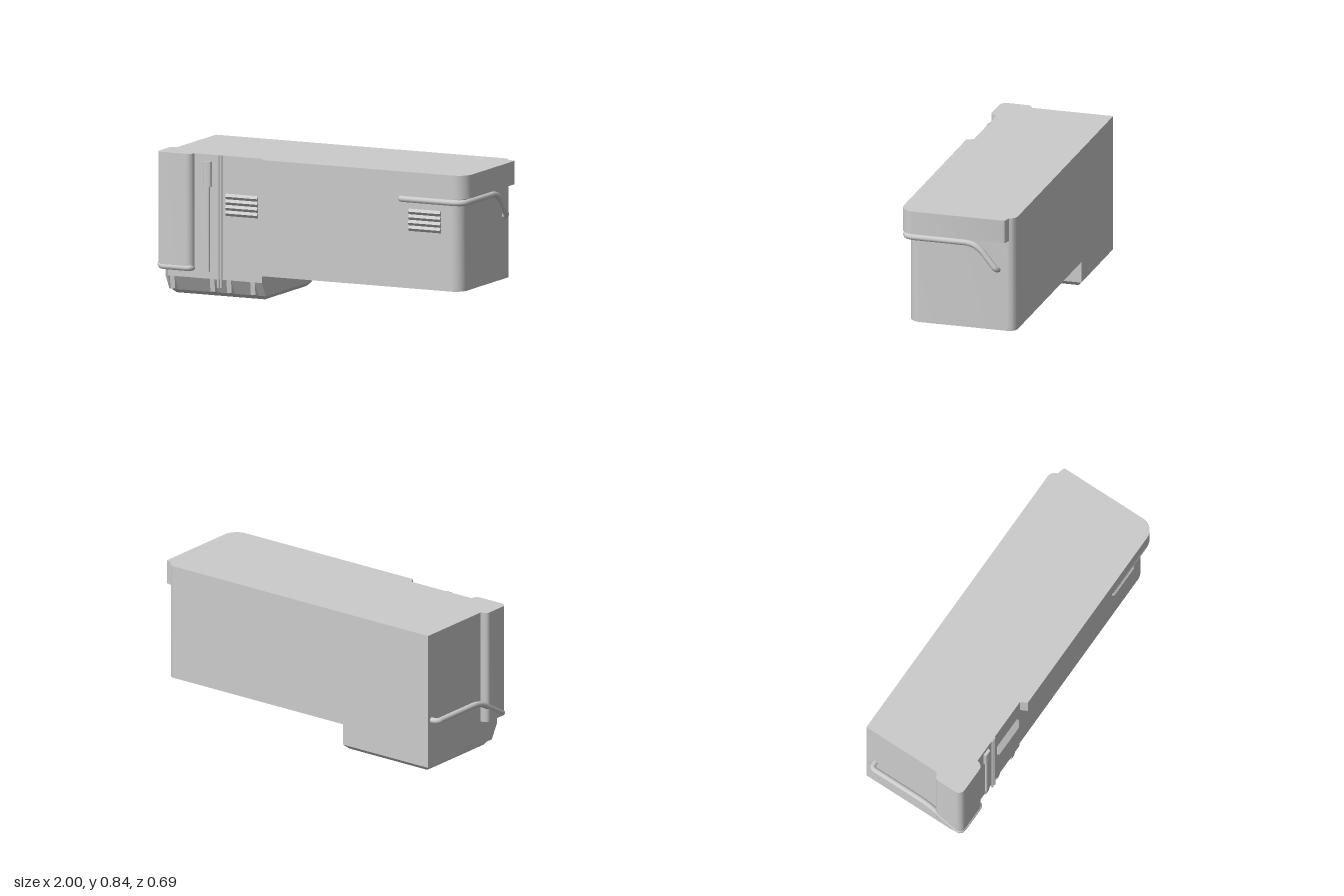
import * as THREE from 'three';
import { toCreasedNormals } from 'three/addons/utils/BufferGeometryUtils.js';
import { ConvexGeometry } from 'three/addons/geometries/ConvexGeometry.js';

const TOP = 0.835, FLOOR = 0.15, FRONT = 0.3, BACK = -0.345;
const V = (x, y, z) => new THREE.Vector3(x, y, z);

// Closed outline from [u, v, cornerRadius] points
function outline(points, Type = THREE.Shape) {
  const path = new Type();
  const n = points.length;
  points.forEach(([u, v, r = 0], i) => {
    const p = new THREE.Vector2(u, v);
    const toward = (q) => new THREE.Vector2(q[0], q[1]).sub(p).normalize();
    const a = toward(points[(i + n - 1) % n]), b = toward(points[(i + 1) % n]);
    const at = (d, s) => p.clone().addScaledVector(d, s);
    const start = at(a, r), end = at(b, r);
    if (i) path.lineTo(start.x, start.y); else path.moveTo(start.x, start.y);
    if (r) {
      const c1 = at(a, r * 0.45), c2 = at(b, r * 0.45);
      path.bezierCurveTo(c1.x, c1.y, c2.x, c2.y, end.x, end.y);
    }
  });
  path.closePath();
  return path;
}

const extrude = (shape, depth) => toCreasedNormals(
  new THREE.ExtrudeGeometry(shape, { depth, bevelEnabled: false, curveSegments: 10 }), 0.6);

// Plan outline [x, z, r] raised from y0 to y1, with an optional hole
function plan(points, y0, y1, hole) {
  const flip = (list) => list.map(([x, z, r]) => [x, -z, r]);
  const shape = outline(flip(points));
  if (hole) shape.holes.push(outline(flip(hole), THREE.Path));
  return extrude(shape, y1 - y0).rotateX(-Math.PI / 2).translate(0, y0, 0);
}

// Side outline [z, y, r] swept from x0 to x1, with an optional hole
function side(points, x0, x1, hole) {
  const flip = (list) => list.map(([z, y, r]) => [-z, y, r]);
  const shape = outline(flip(points));
  if (hole) shape.holes.push(outline(flip(hole), THREE.Path));
  return extrude(shape, x1 - x0).rotateY(Math.PI / 2).translate(x0, 0, 0);
}

// Round bar through points with softened bends; bends[i] belongs to points[i + 1]
function bar(points, bends, radius) {
  const path = new THREE.CurvePath();
  let last = points[0];
  for (let i = 1; i < points.length - 1; i++) {
    const p = points[i], r = bends[i - 1];
    const a = p.clone().add(points[i - 1].clone().sub(p).setLength(r));
    const b = p.clone().add(points[i + 1].clone().sub(p).setLength(r));
    path.add(new THREE.LineCurve3(last, a));
    path.add(new THREE.QuadraticBezierCurve3(a, p, b));
    last = b;
  }
  path.add(new THREE.LineCurve3(last, points[points.length - 1]));
  return new THREE.TubeGeometry(path, 120, radius, 12);
}

export function createModel() {
  const group = new THREE.Group();
  const material = new THREE.MeshStandardMaterial({ color: 0xcccccc });
  const add = (name, geometry) => {
    const mesh = new THREE.Mesh(geometry, material);
    mesh.name = name;
    group.add(mesh);
    return mesh;
  };
  const box = (name, x0, x1, y0, y1, z0, z1) => add(name,
    new THREE.BoxGeometry(x1 - x0, y1 - y0, z1 - z0)
      .translate((x0 + x1) / 2, (y0 + y1) / 2, (z0 + z1) / 2));

  // Main body with a shallow rim around the recessed underside
  const bodyPlan = [[-0.94, BACK], [0.95, BACK, 0.05], [0.95, FRONT, 0.07], [-0.94, FRONT]];
  add('body', plan(bodyPlan, FLOOR + 0.02, TOP));
  add('undersideRim', plan(bodyPlan, FLOOR, FLOOR + 0.02,
    [[-0.3, BACK + 0.025], [0.925, BACK + 0.025, 0.04], [0.925, FRONT - 0.025, 0.05], [-0.3, FRONT - 0.025]]));

  // Crossed braces in the underside recess
  for (const s of [-1, 1]) {
    const brace = box('undersideBrace', -0.66, 0.66, -0.009, 0.009, -0.012, 0.012);
    brace.position.set(0.3, FLOOR + 0.01, -0.0225);
    brace.rotation.y = s * Math.atan2(0.58, 1.2);
  }
  box('bracePlate', 0.26, 0.33, 0.141, 0.16, -0.05, 0);

  // Lower box with sloped front and chamfered bottom edge
  const lower = [];
  for (const [x, inset] of [[-0.94, 0.01], [-0.335, -0.025]]) {
    for (const [z, y] of [[FRONT, 0.172], [FRONT, 0.11], [0.25, 0.025], [BACK, 0.025], [BACK, 0.172]]) {
      lower.push(V(x, y, z));
    }
    lower.push(V(x + inset, 0, 0.21), V(x + inset, 0, BACK + 0.025));
  }
  add('lowerBox', new ConvexGeometry(lower));

  // Brackets under the sloped front
  for (const x of [-0.912, -0.655, -0.548, -0.395]) {
    add('bracket', side([[FRONT, 0.11], [0.292, 0.035], [0.25, 0.025], [0.25, 0.11]], x - 0.015, x + 0.015));
  }

  // Framed end panel
  add('endFrame', side(
    [[BACK, 0.025], [0.25, 0.025], [FRONT, 0.11], [FRONT, TOP], [BACK, TOP]], -0.955, -0.94,
    [[BACK + 0.02, 0.09], [0.125, 0.09], [0.125, TOP - 0.02], [BACK + 0.02, TOP - 0.02]]));

  // Corner pillar
  add('cornerPillar', plan([[-0.995, 0.165, 0.015], [-0.995, 0.34, 0.04], [-0.775, 0.34, 0.03],
    [-0.765, 0.29], [-0.94, 0.29], [-0.945, 0.14]], 0.165, TOP));

  // Overhanging upper band
  const band = [[-0.335, 0.29], [-0.31, 0.34], [0.997, 0.34, 0.085], [0.997, -0.295, 0.012],
    [0.95, -0.307], [0.88, -0.307], [0.88, 0.29]];
  add('upperBand', plan(band, 0.698, TOP));

  // Vertical seam strip and door bar on the front
  for (const x of [-0.615, -0.597]) {
    const strip = new THREE.CylinderGeometry(0.008, 0.008, TOP - 0.02, 8);
    add('seamStrip', strip.translate(x, (TOP + 0.02) / 2 + 0.045, FRONT)).scale.y = 0.95;
  }
  add('doorBar', plan([[-0.69, 0.29], [-0.69, 0.312, 0.005], [-0.67, 0.312, 0.005], [-0.67, 0.29]], 0.152, 0.66));
  add('doorBarHead', plan([[-0.708, 0.29], [-0.702, 0.318, 0.008], [-0.66, 0.318, 0.008], [-0.654, 0.29]], 0.648, 0.795));

  // Louvred vents
  for (const x of [-0.565, 0.613]) {
    const profile = [[0.29, 0.485]];
    for (let i = 0; i < 4; i++) {
      const y = 0.485 + i * 0.0325;
      profile.push([0.301, y], [0.315, y + 0.0163]);
    }
    profile.push([0.301, 0.615], [0.29, 0.615]);
    add('vent', side(profile, x, x + 0.205));
  }

  // Bent rails at both ends
  const rails = [
    ['leftRail', [V(0.565, 0.672, 0.285), V(0.565, 0.672, 0.322), V(0.973, 0.672, 0.322),
      V(0.973, 0.672, -0.115), V(0.973, 0.525, -0.235), V(0.935, 0.515, -0.243)], [0.02, 0.07, 0.07, 0.015]],
    ['rightRail', [V(-0.782, 0.168, 0.285), V(-0.782, 0.168, 0.329), V(-0.983, 0.168, 0.329),
      V(-0.983, 0.3, 0.1), V(-0.983, 0.3, -0.293), V(-0.935, 0.3, -0.293)], [0.015, 0.035, 0.06, 0.03]],
  ];
  for (const [name, points, bends] of rails) add(name, bar(points, bends, 0.0175));

  return group;
}
